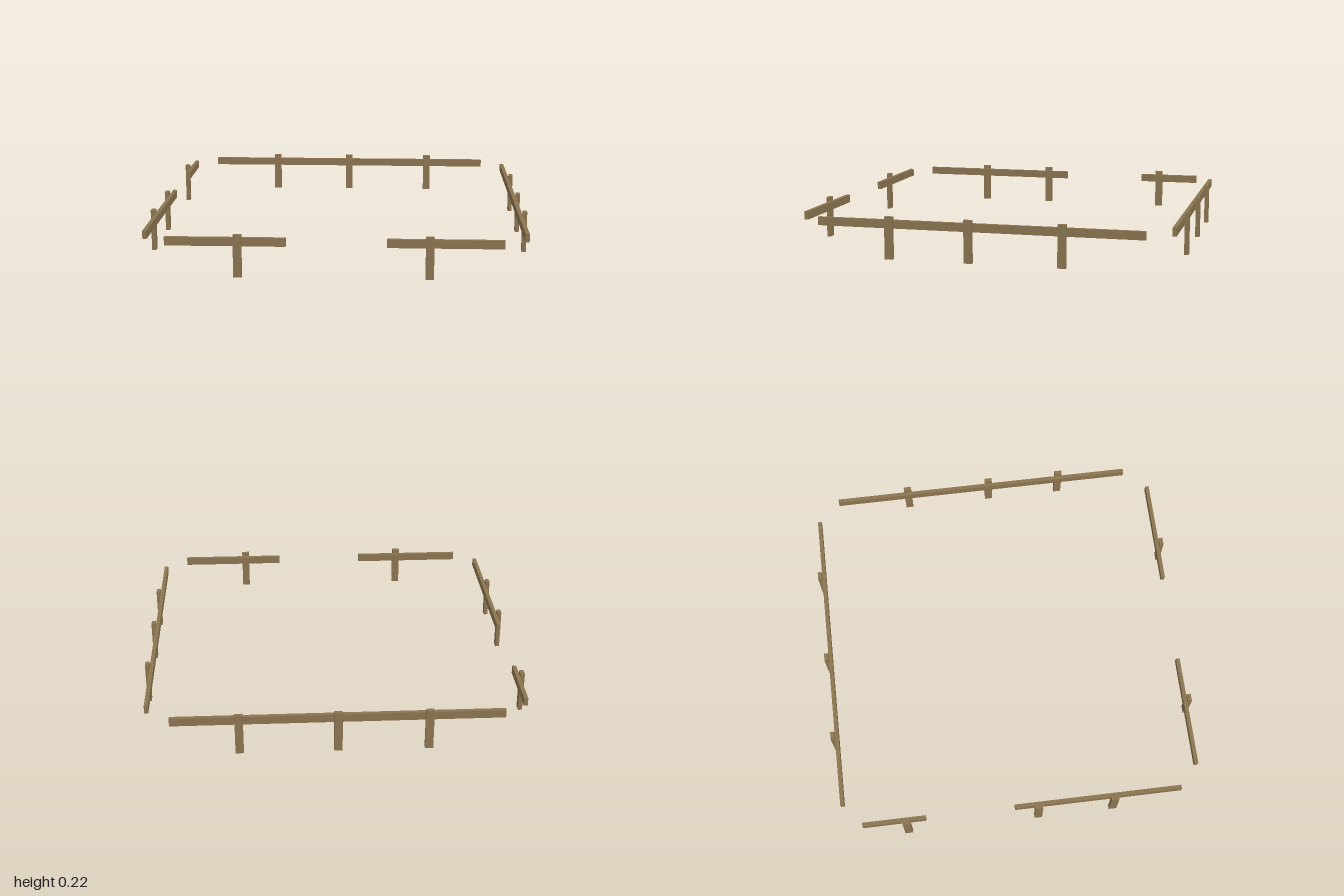
import * as THREE from 'three';

const RAIL_BOTTOM = 0.156, RAIL_TOP = 0.199, POST_TOP = 0.219;
const INNER = 0.957, MIDDLE = 0.978, OUTER = 1, POST_WIDTH = 0.042;

// Each run: side it stands on, rail start and end along that side, post centres
const RUNS = [
  { name: 'backFence', axis: 'x', sign: -1, from: -0.847, to: 0.845, posts: [-0.46, 0, 0.498] },
  { name: 'frontRightFence', axis: 'x', sign: 1, from: -0.847, to: -0.24, posts: [-0.48] },
  { name: 'frontLeftFence', axis: 'x', sign: 1, from: 0.262, to: 0.845, posts: [0.476] },
  { name: 'leftFence', axis: 'z', sign: 1, from: -0.847, to: 0.843, posts: [-0.438, 0.04, 0.456] },
  { name: 'rightBackFence', axis: 'z', sign: -1, from: -0.869, to: -0.526, posts: [-0.632] },
  { name: 'rightFrontFence', axis: 'z', sign: -1, from: -0.045, to: 0.865, posts: [0.084, 0.498] },
];

export function createModel() {
  const model = new THREE.Group();
  model.name = 'fence';
  const wood = new THREE.MeshStandardMaterial({ color: 0x8b7551 });
  wood.name = 'wood';

  // Box given by its extent along the run, its height and its distance from the middle
  function beam(name, run, a0, a1, y0, y1, d0, d1) {
    const along = a1 - a0, depth = d1 - d0;
    const a = (a0 + a1) / 2, d = run.sign * (d0 + d1) / 2, y = (y0 + y1) / 2;
    const onX = run.axis === 'x';
    const mesh = new THREE.Mesh(
      new THREE.BoxGeometry(onX ? along : depth, y1 - y0, onX ? depth : along), wood);
    mesh.position.set(onX ? a : d, y, onX ? d : a);
    mesh.name = name;
    return mesh;
  }

  for (const run of RUNS) {
    const fence = new THREE.Group();
    fence.name = run.name;
    // Rail on the inside, posts fixed to its outer face
    fence.add(beam('rail', run, run.from, run.to, RAIL_BOTTOM, RAIL_TOP, INNER, MIDDLE));
    for (const p of run.posts) {
      fence.add(beam('post', run, p - POST_WIDTH / 2, p + POST_WIDTH / 2, 0, POST_TOP, MIDDLE, OUTER));
    }
    model.add(fence);
  }
  return model;
}
